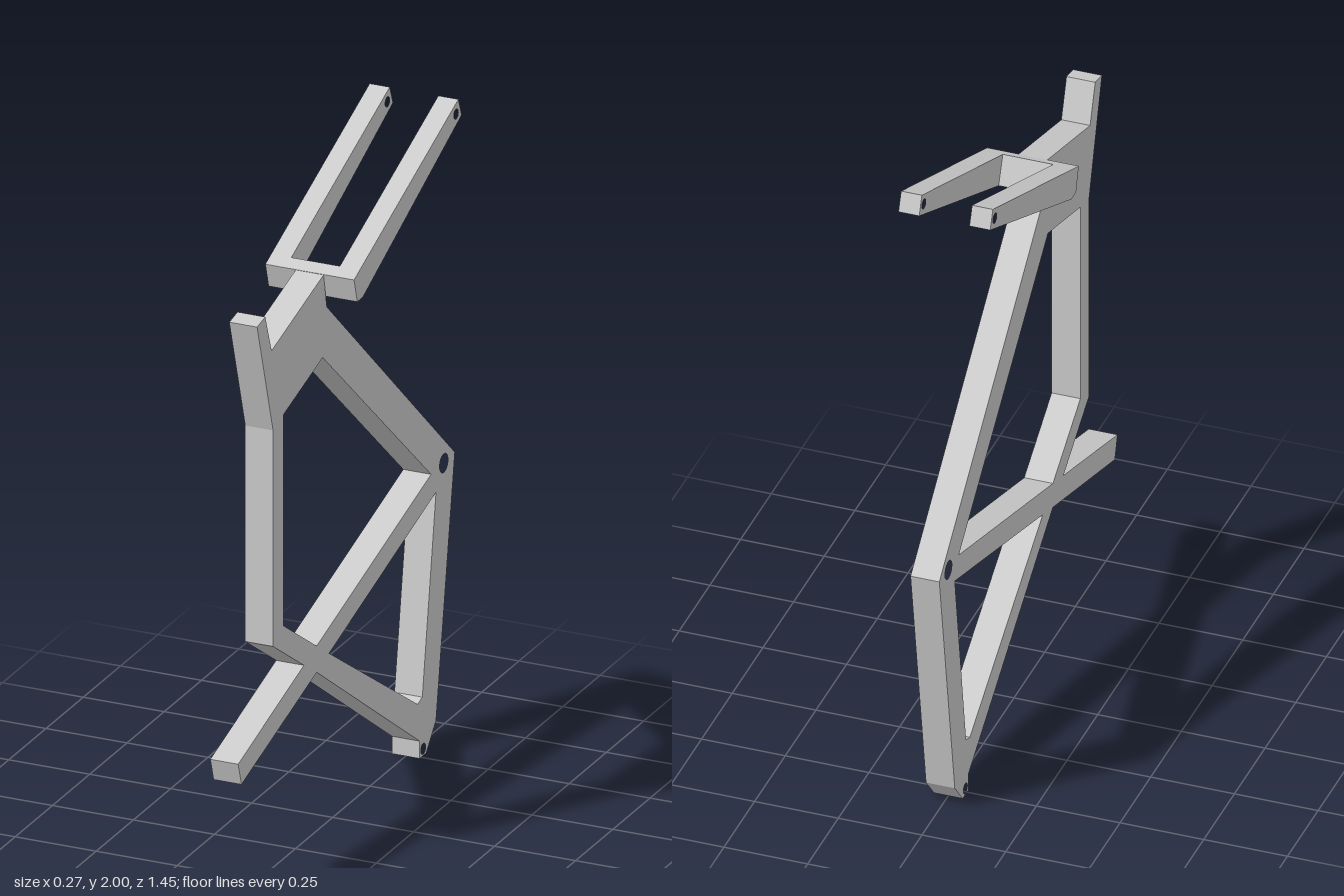
import * as THREE from 'three';

const HALF = 0.043; // half thickness of the main frame

// Extrude a side profile given as [z, y] points, spanning x0..x1
function plate(name, outline, x0, x1, holes = [], bores = []) {
  const toPoints = (pts) => pts.map(([z, y]) => new THREE.Vector2(z, y));
  const shape = new THREE.Shape(toPoints(outline));
  holes.forEach((h) => shape.holes.push(new THREE.Path(toPoints(h))));
  bores.forEach(([z, y, r]) => {
    const bore = new THREE.Path();
    bore.absarc(z, y, r, 0, Math.PI * 2, true);
    shape.holes.push(bore);
  });
  const geo = new THREE.ExtrudeGeometry(shape, { depth: x1 - x0, bevelEnabled: false, curveSegments: 24 });
  geo.rotateY(-Math.PI / 2); // profile into the z-y plane
  geo.translate(x1, 0, 0);
  const mesh = new THREE.Mesh(geo, new THREE.MeshStandardMaterial({ color: 0xcccccc }));
  mesh.name = name;
  return mesh;
}

export function createModel() {
  const group = new THREE.Group();
  group.name = 'frameAndFork';

  // Main frame: head block, tubes and crossing bar in one outline
  const outline = [
    [0.6, 1.727], [0.493, 1.372], [0.493, 0.715], [0.286, 0.579],
    [0.727, 0.446], [0.705, 0.376], [0.2, 0.525],
    [-0.49, 0.053], [-0.49, 0], [-0.535, 0], [-0.6, 0.074],
    [-0.726, 0.842], [0.132, 1.61], [0.154, 1.716], [0.503, 1.618], [0.545, 1.737],
  ];
  const upperOpening = [[0.424, 1.393], [0.16, 1.467], [-0.567, 0.835], [0.2, 0.605], [0.424, 0.752]];
  const lowerOpening = [[0.117, 0.551], [-0.6, 0.768], [-0.508, 0.18], [-0.477, 0.17]];
  const bores = [[-0.652, 0.837, 0.028], [-0.514, 0.021, 0.016]];
  group.add(plate('mainFrame', outline, -HALF, HALF, [upperOpening, lowerOpening], bores));

  // Fork: two bored arms joined by a bridge
  const fork = new THREE.Group();
  fork.name = 'fork';
  const arm = [[0.154, 1.717], [0.132, 1.642], [0.095, 1.642], [-0.568, 1.944], [-0.546, 2]];
  for (const side of [-1, 1]) {
    const [a, b] = [0.075 * side, 0.137 * side].sort((p, q) => p - q);
    fork.add(plate(side > 0 ? 'leftForkArm' : 'rightForkArm', arm, a, b, [], [[-0.53, 1.961, 0.015]]));
  }
  const bridge = [[0.154, 1.717], [0.132, 1.642], [0.095, 1.642], [0.08, 1.649], [0.114, 1.733]];
  fork.add(plate('forkBridge', bridge, -0.075, 0.075));
  group.add(fork);

  return group;
}
